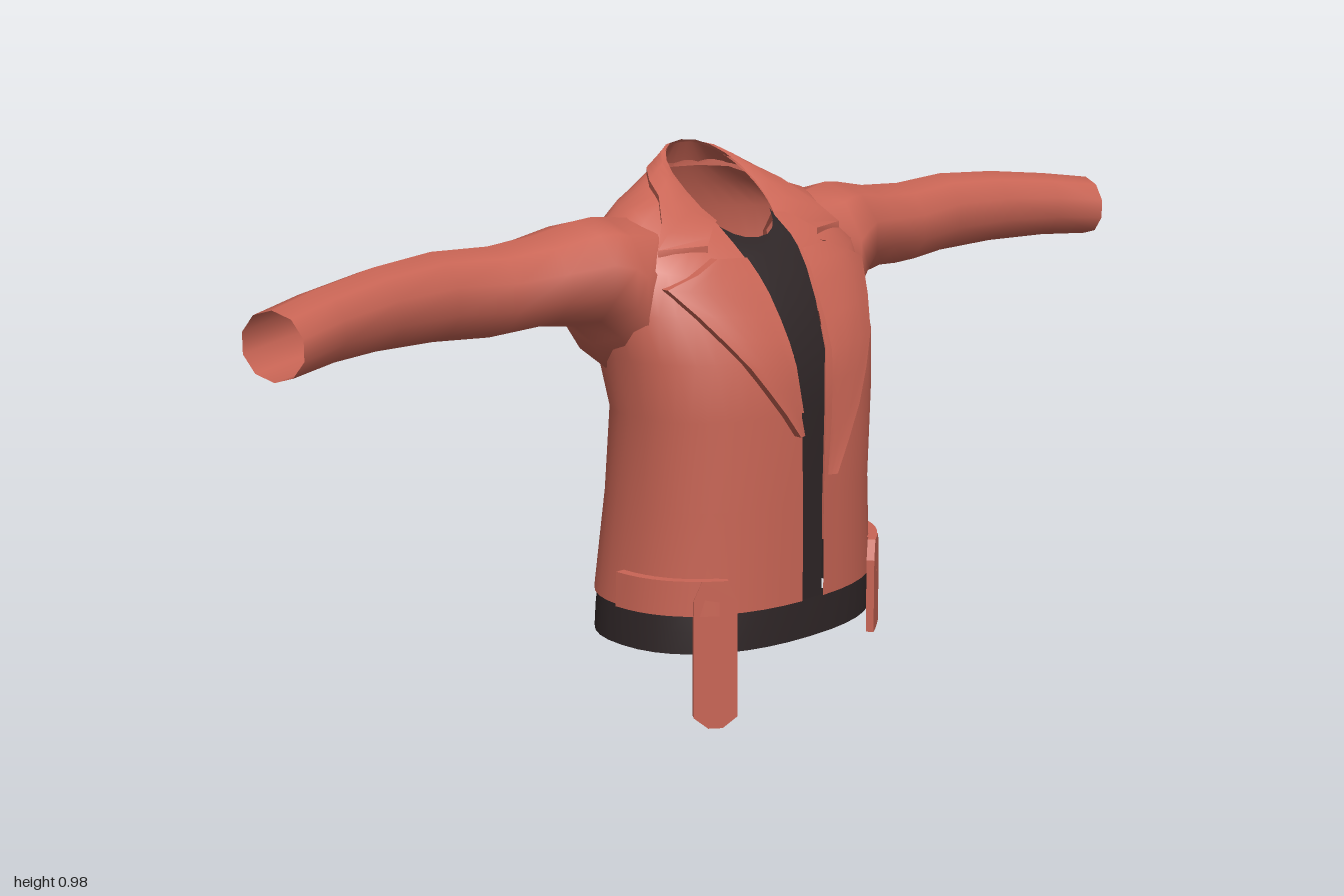
import * as THREE from 'three';
import { toCreasedNormals } from 'three/addons/utils/BufferGeometryUtils.js';

const V = (x, y, z) => new THREE.Vector3(x, y, z);
const P = 0.88; // roundness of the body's cross-section

// Body rings from hem to neck: half width, y front / side / back, z front / back, half gap
const RINGS = [
  [0.270, 0.200, 0.200, 0.200, 0.200, -0.200, 0.026],
  [0.256, 0.380, 0.380, 0.380, 0.200, -0.178, 0.026],
  [0.260, 0.540, 0.540, 0.540, 0.200, -0.155, 0.030],
  [0.274, 0.640, 0.640, 0.640, 0.190, -0.175, 0.040],
  [0.285, 0.720, 0.720, 0.750, 0.155, -0.190, 0.052],
  [0.275, 0.770, 0.825, 0.840, 0.125, -0.178, 0.060],
  [0.205, 0.800, 0.882, 0.890, 0.100, -0.165, 0.067],
  [0.140, 0.815, 0.898, 0.930, 0.085, -0.153, 0.070],
  [0.085, 0.825, 0.902, 0.972, 0.068, -0.132, 0.070],
];

// Point on a ring; angle 0 is the front, PI / 2 the +x side
function ringPoint([w, yf, ys, yb, zf, zb], a) {
  const s = Math.sin(a), c = Math.cos(a);
  const x = Math.sign(s) * Math.abs(s) ** P, k = Math.sign(c) * Math.abs(c) ** P;
  const y = ys + (k > 0 ? yf - ys : yb - ys) * Math.abs(k);
  return V(w * x, y, (zf + zb) / 2 + k * (zf - zb) / 2);
}
const angleAt = (w, x) => Math.asin(Math.min(1, x / w) ** (1 / P));

// Surface through rows of points
function loft(rows, closed = false, skip = () => false) {
  const n = rows[0].length, index = [];
  for (let i = 0; i < rows.length - 1; i++) {
    for (let j = 0; j < (closed ? n : n - 1); j++) {
      const k = (j + 1) % n;
      const mid = rows[i][j].clone().add(rows[i + 1][k]).multiplyScalar(0.5);
      if (skip(mid)) continue;
      const a = i * n + j, b = i * n + k, c = a + n, d = b + n;
      index.push(a, b, d, a, d, c);
    }
  }
  const g = new THREE.BufferGeometry().setFromPoints(rows.flat());
  g.setIndex(index);
  g.computeVertexNormals();
  return g;
}

const span = (n, f) => Array.from({ length: n + 1 }, (_, i) => f(i / n));

export function createModel() {
  const group = new THREE.Group();
  const red = new THREE.MeshStandardMaterial({ color: 0xc96555, side: THREE.DoubleSide });
  red.name = 'red leather';
  const dark = new THREE.MeshStandardMaterial({ color: 0x2e2526, side: THREE.DoubleSide });
  dark.name = 'dark cloth';
  const add = (name, geometry, material) => {
    const mesh = new THREE.Mesh(geometry, material);
    mesh.name = name;
    group.add(mesh);
    return mesh;
  };

  // Body, open down the front and at the armholes
  const bodyRows = RINGS.map((r) => {
    const a0 = angleAt(r[0], r[6]);
    return span(40, (t) => ringPoint(r, a0 + t * (2 * Math.PI - 2 * a0)));
  });
  const armhole = (p) => Math.abs(p.x) > 0.23 && Math.hypot(p.y - 0.77, p.z + 0.04) < 0.07;
  const body = add('body', loft(bodyRows, false, armhole), red);

  // Shirt strip showing in the opening
  const shirtRows = RINGS.map((r) => {
    const a = angleAt(r[0], r[6] * 1.08);
    return span(8, (t) => ringPoint(r, a * (2 * t - 1)).add(V(0, 0, -0.006)));
  });
  add('shirtPanel', loft(shirtRows), dark);

  // Waistband below the hem
  const bandRows = [[0.13, 0.273, 0.196], [0.17, 0.270, 0.195], [0.21, 0.264, 0.193]].map(
    ([y, w, z]) => span(39, (t) => ringPoint([w, y, y, y, z, -z], t * Math.PI * 1.95)));
  add('waistband', loft(bandRows, true), dark);

  // Sleeve sections: x, y bottom / top, z back / front, slant
  const sections = [
    [0.200, 0.640, 0.870, -0.130, 0.060, 0],
    [0.262, 0.615, 0.878, -0.160, 0.070, 0],
    [0.285, 0.660, 0.880, -0.170, 0.068, 0],
    [0.320, 0.695, 0.876, -0.170, 0.055, 0],
    [0.400, 0.705, 0.860, -0.163, 0.030, 0],
    [0.500, 0.700, 0.853, -0.150, 0.012, 0.05],
    [0.620, 0.710, 0.859, -0.135, 0.000, 0.12],
    [0.750, 0.716, 0.852, -0.110, 0.010, 0.2],
    [0.880, 0.715, 0.837, -0.083, 0.032, 0.28],
    [0.982, 0.709, 0.822, -0.058, 0.060, 0.3],
  ];
  const solids = [body];
  for (const side of [1, -1]) {
    const rows = sections.map(([x, y0, y1, z0, z1, slant]) => span(9, (t) => {
      const a = t * Math.PI * 1.8;
      const dz = Math.sin(a) * (z1 - z0) / 2;
      return V(side * (x - slant * dz), (y0 + y1) / 2 + Math.cos(a) * (y1 - y0) / 2, (z0 + z1) / 2 + dz);
    }));
    solids.push(add(side > 0 ? 'leftSleeve' : 'rightSleeve', loft(rows, true), red));
  }

  // Find the cloth below a point, to lay the lapels and collar on it
  const ray = new THREE.Raycaster();
  const cast = (from, dir) => {
    ray.set(from, dir);
    const hit = ray.intersectObjects(solids, false)[0];
    return hit && hit.point;
  };
  const creased = (rows) => toCreasedNormals(loft(rows), 0.7);

  for (const side of [1, -1]) {
    const label = side > 0 ? 'left' : 'right';

    // Lapel: inner and outer edge pairs from bottom to notch
    const low = side > 0 ? 0.42 : 0.5;
    const edges = span(6, (t) => [
      0.028 + 0.029 * t, low + (0.745 - low) * t, 0.046 + 0.192 * t, low + (0.765 - low) * t]);
    edges.push([0.063, 0.775, 0.184, 0.787], [0.068, 0.803, 0.134, 0.807]);
    const lapel = edges.map(([x0, y0, x1, y1]) => {
      let z = 0.1;
      const row = span(6, (t) => {
        const p = V(side * (x0 + (x1 - x0) * t), y0 + (y1 - y0) * t, 1);
        const hit = cast(p, V(0, 0, -1));
        if (hit) z = hit.z;
        return p.setZ(z + 0.008 + 0.008 * t);
      });
      return [...row, row[6].clone().add(V(0, 0, -0.02))];
    });
    add(label + 'Lapel', creased(lapel), red);

    // Collar: from the neck edge out to points given as x, z, from notch to centre back
    const outer = [[0.134, 0.075], [0.222, 0.045], [0.185, 0.015], [0.150, -0.03],
      [0.130, -0.075], [0.100, -0.115], [0.055, -0.145], [0, -0.152]];
    const neck = RINGS[8], a0 = angleAt(neck[0], 0.07);
    const collar = outer.map(([x, z], i) => {
      const p0 = ringPoint(neck, a0 + (Math.PI - a0) * i / 7);
      let y = p0.y + 0.005;
      const row = span(4, (t) => {
        const p = V(p0.x + (x - p0.x) * t, 2, p0.z + (z - p0.z) * t);
        const hit = t > 0 && cast(p, V(0, -1, 0));
        if (hit) y = hit.y + 0.012;
        return V(side * p.x, y, p.z);
      });
      return [...row, row[4].clone().add(V(0, -0.018, 0))];
    });
    add(label + 'Collar', creased(collar), red);

    // Belt tab wrapped round the side of the hem
    const tabEdge = [[0.203, 0], [0.203, 0.016], [0.265, 0.014], [0.265, -0.004]];
    const tab = tabEdge.map(([y, off]) => span(8, (t) => {
      const p = ringPoint([0.27 + off, y, y, y, 0.2 + off, -0.2 - off], Math.PI / 2 - t * 0.85);
      return V(side * p.x, p.y, p.z);
    }));
    add(label + 'BeltTab', creased(tab), red);

    // Hanging strap, the right one longer and pointed
    const end = side > 0 ? 0.093 : 0, cut = side > 0 ? 0.003 : 0.02, w = 0.038;
    const outline = [[-w, end + cut], [-w / 3, end], [w / 3, end], [w, end + cut],
      [w, 0.23], [w * 0.6, 0.265], [-w * 0.6, 0.265], [-w, 0.23]];
    const shape = new THREE.Shape(outline.map(([x, y]) => new THREE.Vector2(x, y)));
    const strap = add(label + 'Strap',
      new THREE.ExtrudeGeometry(shape, { depth: 0.014, bevelEnabled: false }), red);
    strap.position.set(side * 0.195, 0, 0.152);
    strap.rotation.y = side * 0.64;
  }
  return group;
}
